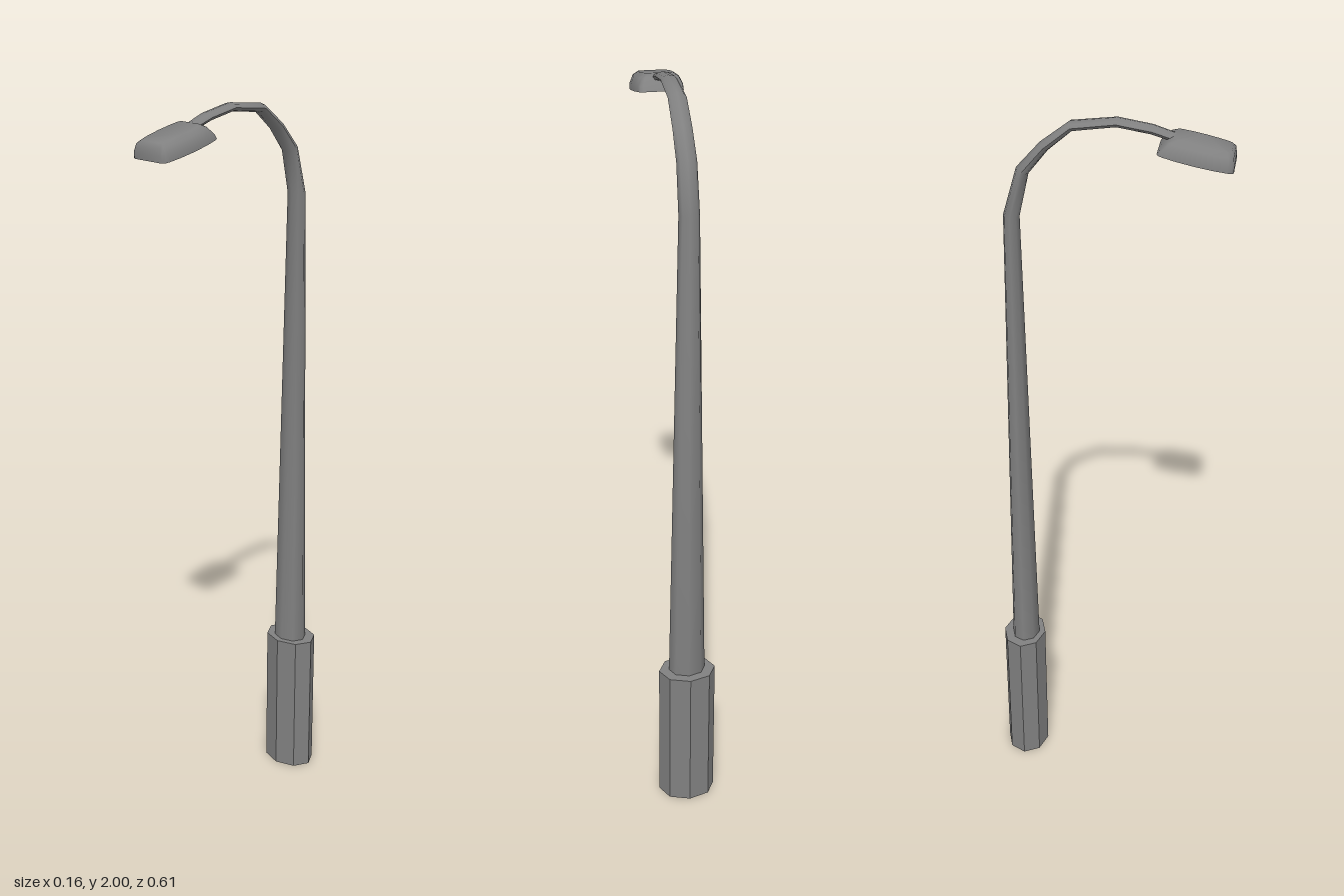
import * as THREE from 'three';
import { toCreasedNormals } from 'three/addons/utils/BufferGeometryUtils.js';

// Skin a list of rings (counter-clockwise around the direction of travel) and cap both ends
function loft(rings, crease) {
  const n = rings[0].length;
  const points = rings.flat();
  const index = [];
  for (let r = 0; r < rings.length - 1; r++) {
    for (let i = 0; i < n; i++) {
      const a = r * n + i, b = r * n + (i + 1) % n;
      index.push(a, b, b + n, a, b + n, a + n);
    }
  }
  const last = (rings.length - 1) * n;
  for (let i = 1; i < n - 1; i++) {
    index.push(0, i + 1, i);
    index.push(last, last + i, last + i + 1);
  }
  const geometry = new THREE.BufferGeometry().setFromPoints(points);
  geometry.setIndex(index);
  return toCreasedNormals(geometry, crease);
}

// Pole and arm: x, y, z of the centre line, half width in x, half depth in the bend plane
const POLE = [
  [0, 0.40, -0.243, 0.05, 0.039],
  [0, 1.735, -0.243, 0.026, 0.021],
  [0.001, 1.855, -0.212, 0.025, 0.017],
  [0.002, 1.92, -0.157, 0.024, 0.014],
  [0.003, 1.974, -0.09, 0.023, 0.012],
  [0.005, 1.988, 0.02, 0.021, 0.011],
  [0.006, 1.974, 0.105, 0.02, 0.011],
  [0.007, 1.944, 0.2, 0.017, 0.01],
];

function poleGeometry() {
  const rings = POLE.map(([x, y, z, w, d], k) => {
    const p = POLE[Math.max(k - 1, 0)], q = POLE[Math.min(k + 1, POLE.length - 1)];
    const t = new THREE.Vector2(q[1] - p[1], q[2] - p[2]).normalize();
    if (k < 2) t.set(1, 0); // the pole rises straight before the bend
    return Array.from({ length: 8 }, (_, i) => {
      const a = i * Math.PI / 4, c = w * Math.cos(a), s = d * Math.sin(a);
      return new THREE.Vector3(x + c, y + t.y * s, z - t.x * s);
    });
  });
  return loft(rings, 1.1);
}

// Lamp head: one rounded quadrant mirrored into a full outline, then stacked in tilted layers
function headGeometry() {
  const quadrant = [[1, 0], [0.96, 0.5], [0.88, 0.84], [0.82, 0.95], [0.7, 1]];
  const flipped = quadrant.slice().reverse();
  const outline = [
    ...quadrant.map(([u, v]) => [u, -v]),
    ...flipped.map(([u, v]) => [-u, -v]),
    ...quadrant.slice(1).map(([u, v]) => [-u, v]),
    ...flipped.slice(0, -1),
  ];
  // half width, back z, front z, back y, front y
  const layers = [
    [0.066, 0.121, 0.306, 1.93, 1.893],
    [0.065, 0.130, 0.306, 1.943, 1.908],
    [0.056, 0.147, 0.304, 1.959, 1.928],
    [0.041, 0.163, 0.298, 1.967, 1.938],
  ];
  const rings = layers.map(([w, z0, z1, y0, y1]) => outline.map(([u, v]) => {
    const f = (v + 1) / 2;
    return new THREE.Vector3(0.006 + u * w, y0 + (y1 - y0) * f, z0 + (z1 - z0) * f);
  }));
  return loft(rings, 0.9);
}

export function createModel() {
  const model = new THREE.Group();
  model.name = 'streetLamp';
  const steel = new THREE.MeshStandardMaterial({ color: 0x808080 });
  steel.name = 'greySteel';

  const add = (name, geometry) => {
    const mesh = new THREE.Mesh(geometry, steel);
    mesh.name = name;
    model.add(mesh);
  };

  // Eight-sided base sleeve, slightly flattened from front to back
  const base = new THREE.CylinderGeometry(1, 1, 0.415, 8);
  base.scale(0.078, 1, 0.06);
  base.translate(0, 0.2075, -0.247);
  add('base', toCreasedNormals(base, 0.3));

  add('poleAndArm', poleGeometry());
  add('lampHead', headGeometry());
  return model;
}
